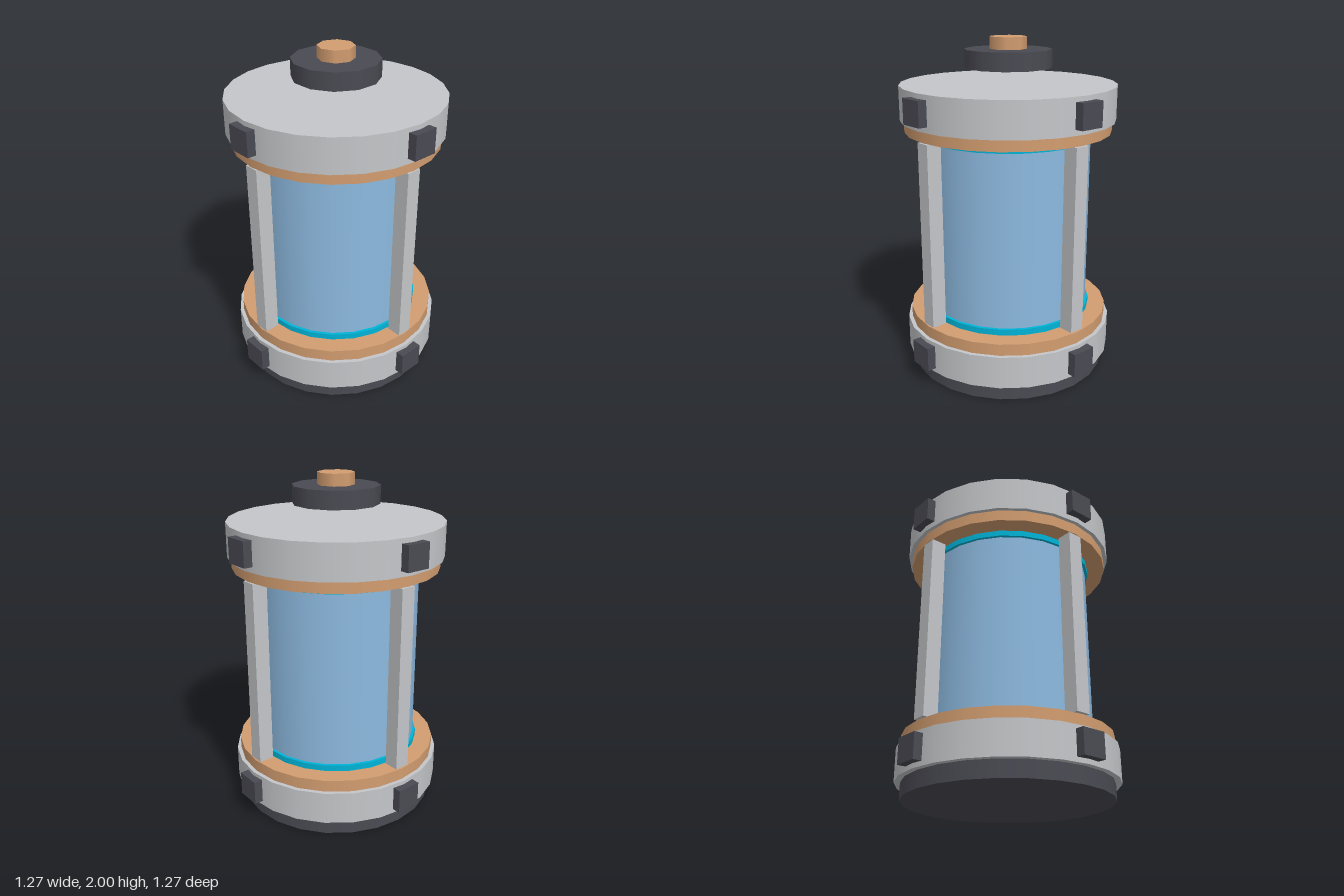
import * as THREE from 'three';

const material = (name, color) => {
  const m = new THREE.MeshStandardMaterial({ color });
  m.name = name;
  return m;
};

export function createModel() {
  const group = new THREE.Group();
  const grey = material('light grey metal', 0xc4c6c9);
  const dark = material('dark metal', 0x4a4a53);
  const copper = material('copper', 0xd29d70);
  const blue = material('pale blue glass', 0x8dbae0);
  const cyan = material('cyan seal', 0x00b4d8);

  // Upright disc or drum between two heights
  const drum = (name, mat, radius, y0, y1, sides = 24) => {
    const mesh = new THREE.Mesh(new THREE.CylinderGeometry(radius, radius, y1 - y0, sides), mat);
    mesh.name = name;
    mesh.position.y = (y0 + y1) / 2;
    group.add(mesh);
  };

  // Four boxes on the diagonals, facing outward
  const diagonalBoxes = (name, mat, width, depth, radius, y0, y1) => {
    const geometry = new THREE.BoxGeometry(width, y1 - y0, depth);
    for (let i = 0; i < 4; i++) {
      const a = Math.PI / 4 + (i * Math.PI) / 2;
      const mesh = new THREE.Mesh(geometry, mat);
      mesh.name = name;
      mesh.position.set(Math.sin(a) * radius, (y0 + y1) / 2, Math.cos(a) * radius);
      mesh.rotation.y = a;
      group.add(mesh);
    }
  };

  // Foot and lower collar
  drum('foot', dark, 0.6, 0, 0.095);
  drum('lowerCollar', grey, 0.635, 0.095, 0.29);
  drum('lowerCopperRing', copper, 0.612, 0.29, 0.36);
  drum('lowerSeal', cyan, 0.507, 0.36, 0.396);

  // Glass chamber
  drum('glassChamber', blue, 0.49, 0.396, 1.43);

  // Upper collar
  drum('upperSeal', cyan, 0.507, 1.43, 1.464);
  drum('upperCopperRing', copper, 0.612, 1.464, 1.53);
  drum('upperCollar', grey, 0.635, 1.53, 1.735);

  // Raised cap and knob
  drum('cap', dark, 0.255, 1.825, 1.93, 12);
  drum('knob', copper, 0.108, 1.93, 2, 8);

  // Guard posts and collar clamps
  diagonalBoxes('guardPost', grey, 0.09, 0.09, 0.566, 0.37, 1.459);
  diagonalBoxes('lowerClamp', dark, 0.15, 0.08, 0.637, 0.122, 0.266);
  diagonalBoxes('upperClamp', dark, 0.15, 0.08, 0.637, 1.563, 1.707);

  return group;
}
